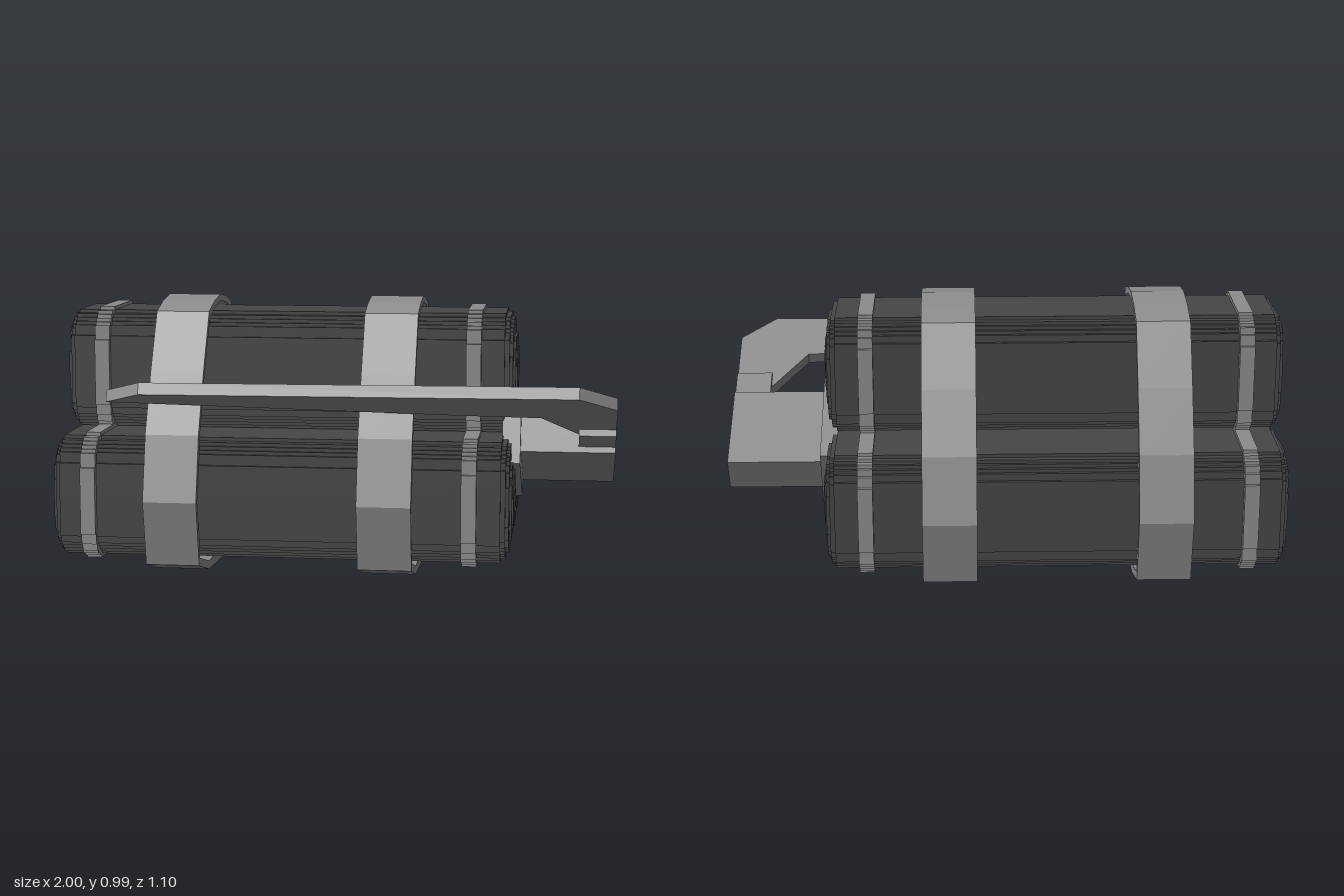
import * as THREE from 'three';

const light = new THREE.MeshStandardMaterial({ color: 0x8c8c8c, flatShading: true });
const dark = new THREE.MeshStandardMaterial({ color: 0x464646, flatShading: true });

// Extrude a (z, y) outline along x from x0 to x1
function extrudeX(points, x0, x1, hole) {
  const toV = ([z, y]) => new THREE.Vector2(-z, y);
  const shape = new THREE.Shape(points.map(toV));
  if (hole) shape.holes.push(new THREE.Path(hole.map(toV)));
  const geo = new THREE.ExtrudeGeometry(shape, { depth: x1 - x0, bevelEnabled: false });
  return geo.rotateY(Math.PI / 2).translate(x0, 0, 0);
}

// Rounded-square outline with small stair steps
function steppedOutline(cz, cy, rz, ry, step = 0.0125) {
  const pts = [];
  const n = 96, power = 2 / 3.6;
  const snap = (v) => Math.round(v / step) * step;
  const curve = (c) => Math.sign(c) * Math.abs(c) ** power;
  for (let i = 0; i < n; i++) {
    const a = (i / n) * Math.PI * 2;
    const z = cz + snap(rz * curve(Math.cos(a)));
    const y = cy + snap(ry * curve(Math.sin(a)));
    const last = pts[pts.length - 1];
    if (last && last[0] === z && last[1] === y) continue;
    if (last && last[0] !== z && last[1] !== y) pts.push([z, last[1]]);
    pts.push([z, y]);
  }
  const [a, b] = [pts[0], pts[pts.length - 1]];
  if (a[0] === b[0] && a[1] === b[1]) pts.pop();
  return pts;
}

function add(parent, name, geometry, material) {
  const mesh = new THREE.Mesh(geometry, material);
  mesh.name = name;
  parent.add(mesh);
  return mesh;
}

// One roll: body, stepped domed ends and two bands
function makeRoll(name, cz, cy) {
  const roll = new THREE.Group();
  roll.name = name;
  const r = 0.217;
  const layers = [[1, -0.95, 0.605], [0.94, -0.965, 0.622], [0.84, -0.977, 0.634],
    [0.6, -0.985, 0.642], [0.4, -0.99, 0.647], [0.15, -0.995, 0.65]];
  layers.forEach(([s, x0, x1], i) =>
    add(roll, i ? 'endStep' : 'rollBody', extrudeX(steppedOutline(cz, cy, r * s, r * s), x0, x1), dark));
  for (const x of [-0.87, 0.47]) {
    add(roll, 'endBand', extrudeX(steppedOutline(cz, cy, 0.237, 0.23), x, x + 0.053), light);
  }
  return roll;
}

export function createModel() {
  const model = new THREE.Group();

  // Three stacked rolls
  model.add(makeRoll('topRoll', -0.035, 0.727));
  model.add(makeRoll('frontRoll', 0.215, 0.3));
  model.add(makeRoll('backRoll', -0.277, 0.3));

  // Two straps wrapped round the stack, mirrored about its middle
  const mid = -0.033;
  const half = (pts) => [...pts.map(([z, y]) => [mid + z, y]),
    ...pts.slice(1, -1).reverse().map(([z, y]) => [mid - z, y])];
  const outer = half([[0, 0.99], [0.12, 0.975], [0.23, 0.945], [0.35, 0.74], [0.455, 0.53],
    [0.515, 0.3], [0.465, 0.068], [0.28, 0.016], [0, 0.004]]);
  const inner = half([[0, 0.967], [0.11, 0.952], [0.215, 0.922], [0.33, 0.73], [0.43, 0.52],
    [0.49, 0.3], [0.445, 0.092], [0.275, 0.046], [0, 0.046]]);
  for (const x of [-0.64, 0.11]) add(model, 'strap', extrudeX(outer, x, x + 0.19, inner), light);

  // Tilted bracket: guard, grip and a flat arm reaching along the front
  const bracket = new THREE.Group();
  bracket.name = 'bracket';
  bracket.position.set(0, 0.4375, -0.016);
  bracket.rotation.x = -THREE.MathUtils.degToRad(26);
  model.add(bracket);

  const box = (name, x0, x1, v, u0, u1) => add(bracket, name,
    new THREE.BoxGeometry(x1 - x0, v * 2, u1 - u0).translate((x0 + x1) / 2, 0, (u0 + u1) / 2), light);
  box('guard', 0.6, 0.665, 0.12, -0.21, 0.21);
  box('grip', 0.66, 1, 0.065, -0.185, 0.175);
  box('gripJoint', 0.87, 1, 0.043, 0.16, 0.3);

  // Arm outline given as x and z seen from above
  const armPoints = [[-0.77, 0.45], [-0.64, 0.527], [0.87, 0.543], [1, 0.445], [1, 0.13],
    [0.87, 0.13], [0.87, 0.2], [0.74, 0.36], [0.48, 0.37], [-0.45, 0.43]];
  const arm = new THREE.Shape(armPoints.map(([x, z]) => new THREE.Vector2(x, -(z + 0.016) / 0.899)));
  const armGeo = new THREE.ExtrudeGeometry(arm, { depth: 0.044, bevelEnabled: false });
  armGeo.rotateX(-Math.PI / 2).translate(0, -0.018, 0);
  add(bracket, 'arm', armGeo, light);

  return model;
}
